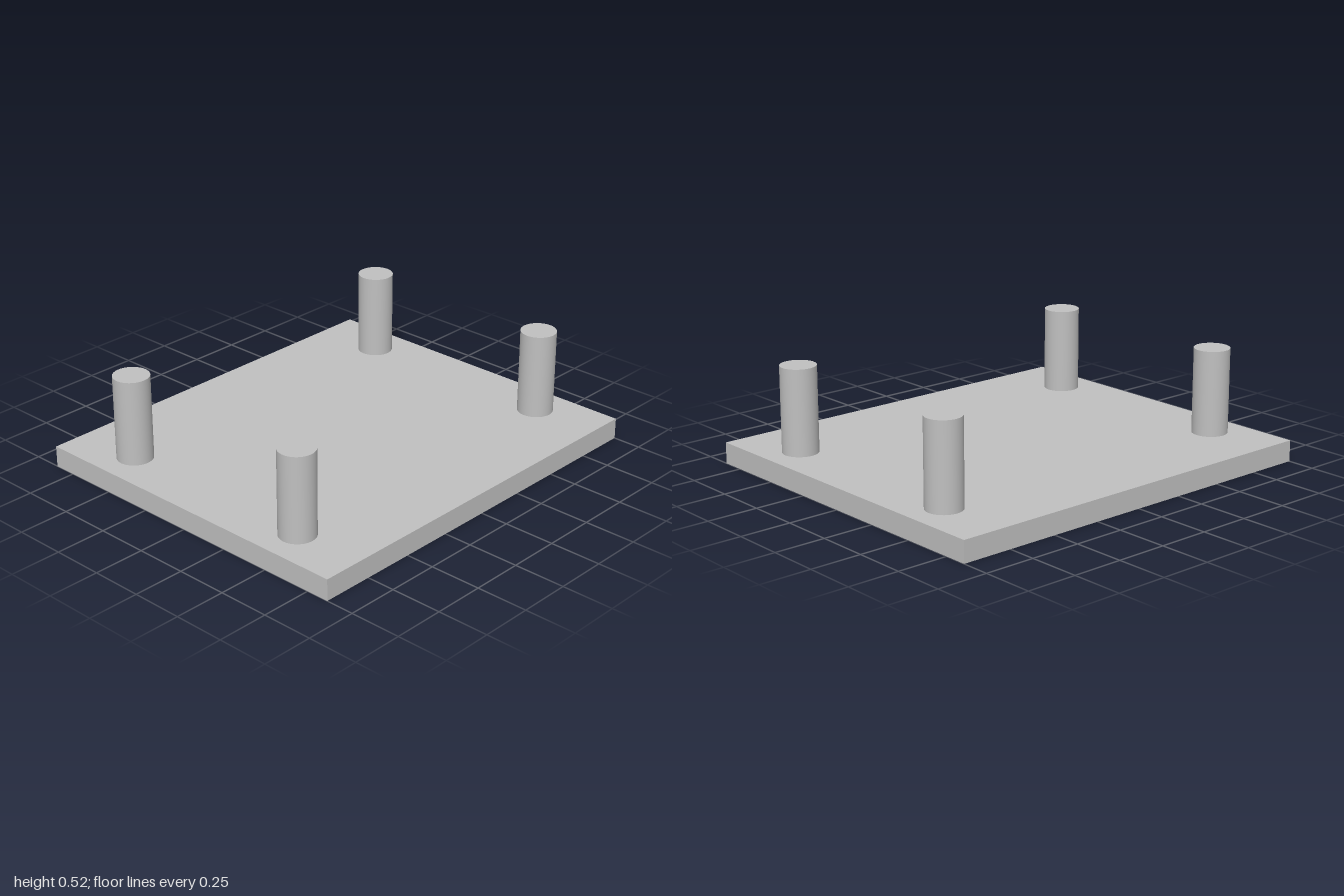
import * as THREE from 'three';

export function createModel() {
  const model = new THREE.Group();
  const grey = new THREE.MeshStandardMaterial({ color: 0xc0c0c0 });
  grey.name = 'light grey';

  const thickness = 0.103;
  const height = 0.517;

  // Flat rectangular base plate
  const plate = new THREE.Mesh(new THREE.BoxGeometry(1.724, thickness, 2), grey);
  plate.name = 'basePlate';
  plate.position.y = thickness / 2;
  model.add(plate);

  // Four round posts standing near the corners
  const postHeight = height - thickness;
  const postGeometry = new THREE.CylinderGeometry(0.086, 0.086, postHeight, 64);
  for (const [zName, z] of [['front', 0.818], ['back', -0.818]]) {
    for (const [xName, x] of [['Left', 0.517], ['Right', -0.517]]) {
      const post = new THREE.Mesh(postGeometry, grey);
      post.name = `${zName}${xName}Post`;
      post.position.set(x, thickness + postHeight / 2, z);
      model.add(post);
    }
  }
  return model;
}
